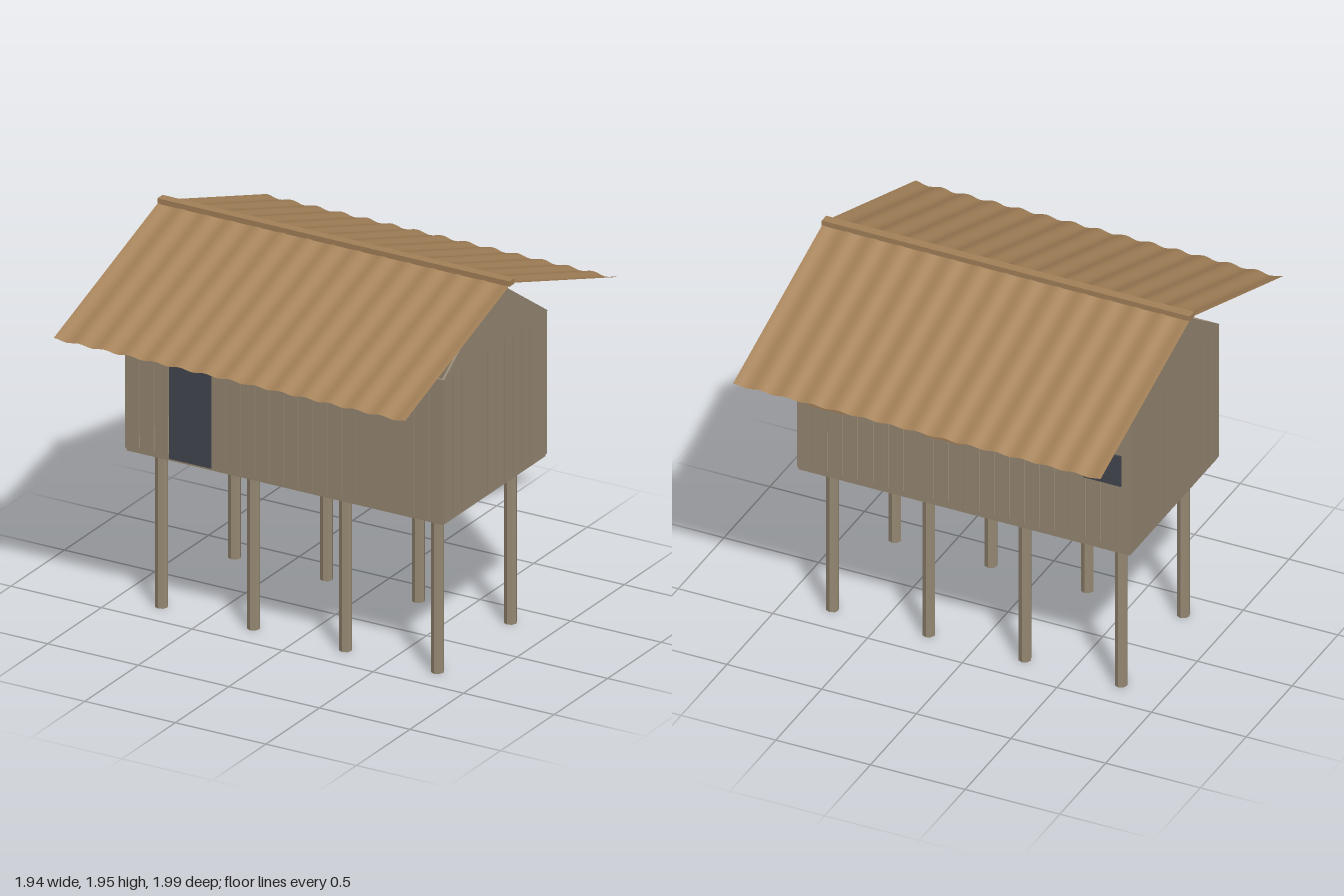
import * as THREE from 'three';

const wood = new THREE.MeshStandardMaterial({ color: 0x978973 });
wood.name = 'weatheredWood';
const thatch = new THREE.MeshStandardMaterial({ color: 0xa58259, side: THREE.DoubleSide });
thatch.name = 'brownSheet';
const dark = new THREE.MeshStandardMaterial({ color: 0x434850 });
dark.name = 'darkOpening';

const PITCH = 0.08, BOARD = 0.072;
const WALL_BASE = 0.85, WALL_TOP = 1.59;
const HALF_X = 0.88, HALF_Z = 0.48;

// Box given by its limits on each axis
function box(name, material, [x0, x1], [y0, y1], [z0, z1]) {
  const mesh = new THREE.Mesh(new THREE.BoxGeometry(x1 - x0, y1 - y0, z1 - z0), material);
  mesh.position.set((x0 + x1) / 2, (y0 + y1) / 2, (z0 + z1) / 2);
  mesh.name = name;
  return mesh;
}

// Row of upright boards with narrow open gaps
function boardWall(name, count, length) {
  const wall = new THREE.Group();
  wall.name = name;
  for (let i = 0; i < count; i++) {
    const c = -length / 2 + (i + 0.5) * PITCH;
    wall.add(box('wallBoard', wood, [c - BOARD / 2, c + BOARD / 2], [WALL_BASE, WALL_TOP], [-0.006, 0.006]));
  }
  return wall;
}

// Corrugated sheet running from the ridge down to one eave
function roofSheet(side) {
  const waves = 14, perWave = 8;
  const geo = new THREE.PlaneGeometry(1.94, 1, waves * perWave, 1);
  const p = geo.attributes.position;
  const slope = new THREE.Vector2(0.993, -0.342).normalize();
  for (let i = 0; i < p.count; i++) {
    const x = p.getX(i), t = 0.5 - p.getY(i);
    const lift = 0.006 * Math.cos((x / 1.94 + 0.5) * waves * Math.PI * 2);
    const z = t * 0.993 - slope.y * lift;
    const y = 1.927 - t * 0.342 + slope.x * lift;
    p.setXYZ(i, side * x, y, side * z);
  }
  geo.computeVertexNormals();
  const mesh = new THREE.Mesh(geo, thatch);
  mesh.name = side > 0 ? 'frontRoof' : 'backRoof';
  return mesh;
}

export function createModel() {
  const model = new THREE.Group();
  model.name = 'stiltHut';

  // Stilts
  const postGeo = new THREE.CylinderGeometry(0.032, 0.032, 0.836, 8).toNonIndexed();
  postGeo.computeVertexNormals();
  for (const x of [-0.762, -0.254, 0.254, 0.762]) {
    for (const z of [-0.34, 0.34]) {
      const post = new THREE.Mesh(postGeo, wood);
      post.position.set(x, 0.418, z);
      post.name = 'stilt';
      model.add(post);
    }
  }

  // Floor platform
  model.add(box('floor', wood, [-0.875, 0.875], [0.835, 0.868], [-0.478, 0.478]));

  // Walls and gables
  for (const s of [-1, 1]) {
    const long = boardWall(s > 0 ? 'frontWall' : 'backWall', 22, HALF_X * 2);
    long.position.z = s * HALF_Z;
    const end = boardWall(s > 0 ? 'leftWall' : 'rightWall', 12, HALF_Z * 2);
    end.rotation.y = Math.PI / 2;
    end.position.x = s * 0.877;

    const shape = new THREE.Shape([
      new THREE.Vector2(-0.485, WALL_TOP),
      new THREE.Vector2(0.485, WALL_TOP),
      new THREE.Vector2(0, 1.92),
    ]);
    const gableGeo = new THREE.ExtrudeGeometry(shape, { depth: 0.012, bevelEnabled: false });
    gableGeo.translate(0, 0, -0.006);
    const gable = new THREE.Mesh(gableGeo, wood);
    gable.rotation.y = Math.PI / 2;
    gable.position.x = s * 0.877;
    gable.name = 'gable';
    model.add(long, end, gable);
  }

  // Doorway and plain panel on the front
  model.add(box('doorway', dark, [-0.63, -0.4], [WALL_BASE, 1.36], [0.484, 0.492]));
  model.add(box('frontPanel', wood, [0.4, 0.71], [WALL_BASE, 1.36], [0.482, 0.488]));

  // Window and shutters on the back
  for (const [name, material, x] of [
    ['windowOpening', dark, -0.735], ['shutter', thatch, 0.105], ['shutter', thatch, 0.72],
  ]) {
    model.add(box(name, material, [x - 0.1, x + 0.1], [1.22, 1.39], [-0.493, -0.485]));
  }

  // Roof slopes and ridge cap
  model.add(roofSheet(1), roofSheet(-1));
  model.add(box('ridgeCap', thatch, [-0.972, 0.972], [1.922, 1.95], [-0.024, 0.024]));

  return model;
}
